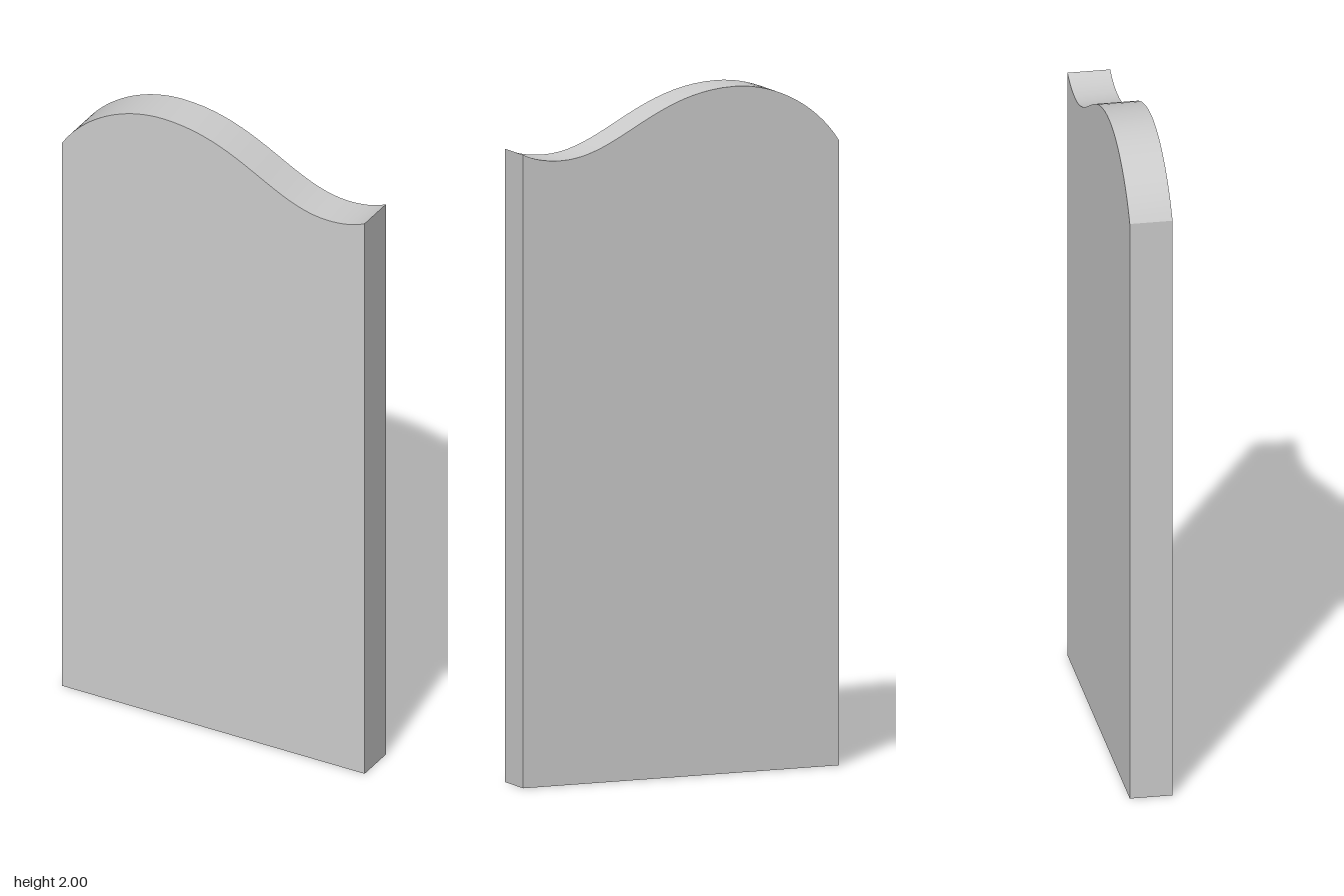
import * as THREE from 'three';
import { toCreasedNormals } from 'three/addons/utils/BufferGeometryUtils.js';

const DEPTH = 0.125;

export function createModel() {
  const group = new THREE.Group();
  group.name = 'wavyTopPanel';

  // Upright outline with a wavy top edge: low right end, crest, dip, raised left end
  const outline = new THREE.Shape();
  outline.moveTo(0.5, 0);
  outline.lineTo(0.5, 1.845);
  outline.bezierCurveTo(0.47, 1.83, 0.43, 1.82, 0.38, 1.82);
  outline.bezierCurveTo(0.2, 1.82, 0.08, 2, -0.17, 2);
  outline.bezierCurveTo(-0.3, 2, -0.43, 1.93, -0.5, 1.82);
  outline.lineTo(-0.5, 0);
  outline.closePath();

  // Flat slab, smooth along the wave and sharp at the edges
  const slab = new THREE.ExtrudeGeometry(outline, {
    depth: DEPTH, bevelEnabled: false, curveSegments: 20,
  });
  slab.translate(0, 0, -DEPTH / 2);

  const panel = new THREE.Mesh(
    toCreasedNormals(slab, Math.PI / 6),
    new THREE.MeshStandardMaterial({ color: 0xcccccc }),
  );
  panel.name = 'panel';
  group.add(panel);
  return group;
}
